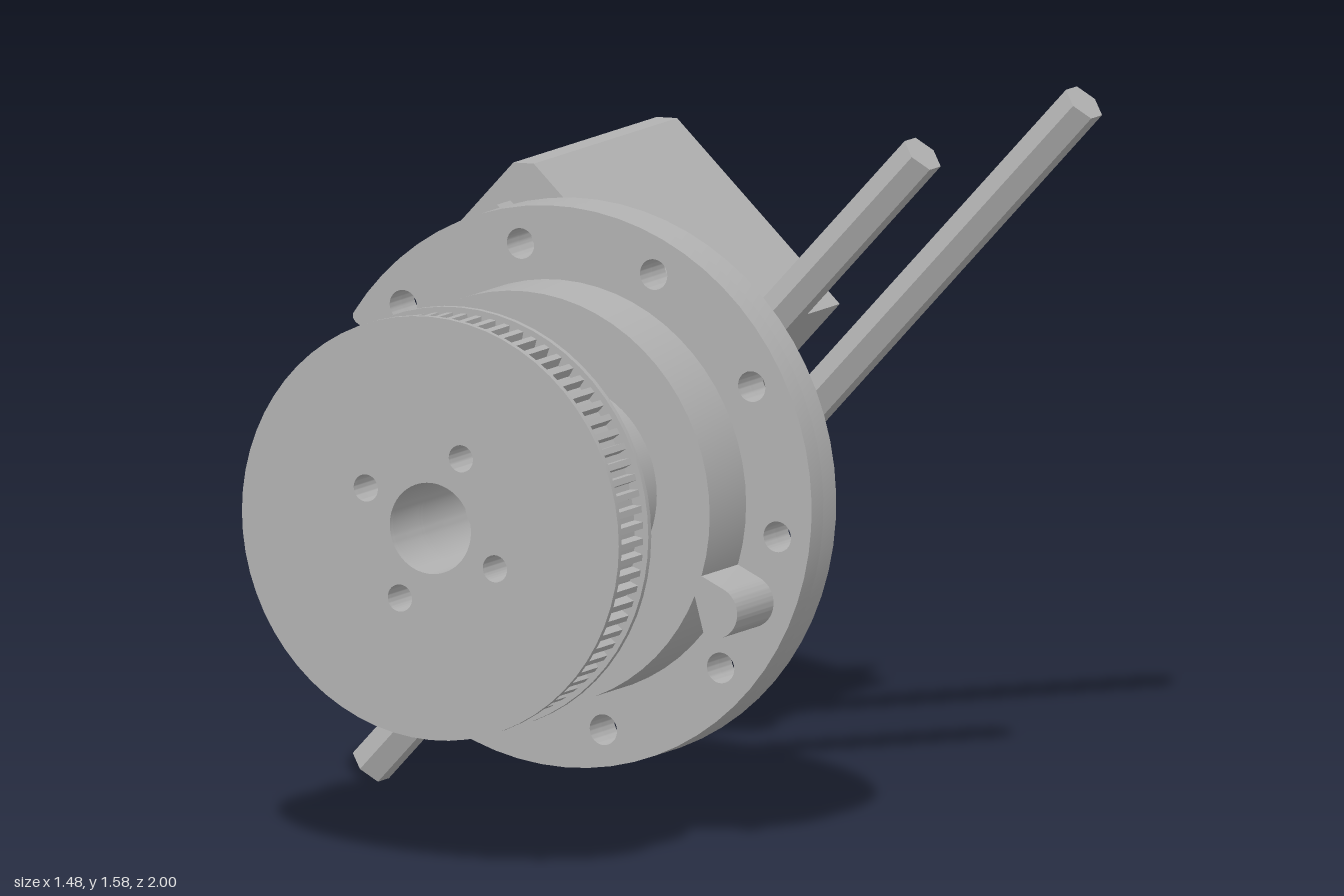
import * as THREE from 'three';
import { toCreasedNormals } from 'three/addons/utils/BufferGeometryUtils.js';

const TAU = Math.PI * 2;
const gray = new THREE.MeshStandardMaterial({ color: 0xb2b2b2 });
gray.name = 'plain gray';

function add(parent, name, geometry) {
  const mesh = new THREE.Mesh(toCreasedNormals(geometry, 0.5), gray);
  mesh.name = name;
  parent.add(mesh);
  return mesh;
}

// Extrude a shape along z between two depths
function slab(shape, z0, z1) {
  const g = new THREE.ExtrudeGeometry(shape, { depth: z1 - z0, bevelEnabled: false, curveSegments: 32 });
  return g.translate(0, 0, z0);
}

const polar = (r, a) => new THREE.Vector2(r * Math.cos(a), r * Math.sin(a));

function disc(r) {
  return new THREE.Shape().absarc(0, 0, r, 0, TAU);
}

function punch(shape, r, radius = 0, count = 1, start = 0) {
  for (let i = 0; i < count; i++) {
    const c = polar(radius, start + (i * TAU) / count);
    shape.holes.push(new THREE.Path().absarc(c.x, c.y, r, 0, TAU, true));
  }
  return shape;
}

// Centre bore with the four screw holes around it
const bore = (shape, screw = 0.031) => punch(punch(shape, 0.104), screw, 0.183, 4, 1.13);

// Flange outline with a rounded notch in the rim
function flangeShape() {
  const R = 0.64, a = THREE.MathUtils.degToRad(155), w = 0.075, d = 0.57;
  const dir = polar(1, a), side = polar(1, a + Math.PI / 2);
  const at = (along, across) => dir.clone().multiplyScalar(along).addScaledVector(side, across);
  const s = new THREE.Shape();
  const c = at(d, 0), p = at(0.605, w), q = at(0.605, -w), k = at(0.632, w), m = at(0.632, -w);
  s.absarc(0, 0, R, a + 0.145, a - 0.145 + TAU, false);
  s.quadraticCurveTo(m.x, m.y, q.x, q.y);
  s.absarc(c.x, c.y, w, a - Math.PI / 2, a - Math.PI * 1.5, true);
  s.lineTo(p.x, p.y);
  const e = polar(R, a + 0.145);
  s.quadraticCurveTo(k.x, k.y, e.x, e.y);
  return punch(s, 0.035, 0.556, 10, THREE.MathUtils.degToRad(-7));
}

// Toothed outline of the belt pulley
function toothShape(n, rIn, rOut) {
  const pts = [];
  for (let i = 0; i < n; i++) {
    [[0, rIn], [0.4, rIn], [0.5, rOut], [0.9, rOut]].forEach(([t, r]) => pts.push(polar(r, ((i + t) * TAU) / n)));
  }
  return new THREE.Shape(pts);
}

// Ear with two screw holes, each open to the edge by a narrow slot
function earShape() {
  const w = 0.15, h = 0.115, r = 0.03, slot = 0.011, cy = 0.06;
  const s = new THREE.Shape();
  s.moveTo(-w, -0.02);
  s.lineTo(w, -0.02);
  s.lineTo(w, h - 0.015);
  s.lineTo(w - 0.015, h);
  const g = Math.asin(slot / r);
  for (const x of [0.075, -0.075]) {
    s.lineTo(x + slot, h);
    s.absarc(x, cy, r, Math.PI / 2 - g, Math.PI / 2 + g - TAU, true);
    s.lineTo(x - slot, h);
  }
  s.lineTo(0.015 - w, h);
  s.lineTo(-w, h - 0.015);
  return s;
}

function buildDrive() {
  const g = new THREE.Group();
  g.name = 'driveAssembly';

  // Mounting flange, counterbored at the back
  add(g, 'flangeBack', slab(bore(flangeShape(), 0.068), 0.27, 0.33));
  add(g, 'flangeFront', slab(bore(flangeShape()), 0.33, 0.385));

  // Collar ring with its side lug
  add(g, 'collarRing', slab(punch(disc(0.472), 0.41), 0.385, 0.555));
  const lug = new THREE.Shape();
  lug.moveTo(0.43, -0.06);
  lug.absarc(0.53, 0, 0.06, -Math.PI / 2, Math.PI / 2);
  lug.lineTo(0.43, 0.06);
  add(g, 'collarLug', slab(lug, 0.385, 0.555)).rotation.z = THREE.MathUtils.degToRad(-24.5);

  // Two hub halves with a small gap
  add(g, 'flangeHub', slab(bore(disc(0.243)), 0.385, 0.635));
  add(g, 'pulleyHub', slab(bore(disc(0.243)), 0.65, 0.848));

  // Belt pulley between two thin rims
  add(g, 'pulleyBackRim', slab(bore(disc(0.483)), 0.848, 0.862));
  add(g, 'pulleyTeeth', slab(bore(toothShape(80, 0.448, 0.47)), 0.862, 0.986));
  add(g, 'pulleyFrontRim', slab(bore(disc(0.483)), 0.986, 1.0));
  return g;
}

function buildServo() {
  const g = new THREE.Group();
  g.name = 'servo';

  // Chamfered case
  const s = new THREE.Shape([
    [-0.171, 0.14], [0.171, 0.14], [0.171, 0.71], [0.134, 0.747], [-0.134, 0.747], [-0.171, 0.71],
  ].map(([x, y]) => new THREE.Vector2(x, y)));
  add(g, 'servoCase', slab(s, -0.887, -0.217));

  // Mounting ears at both ends
  for (const [name, sign, z] of [['frontEar', 1, -0.217], ['backEar', -1, -0.887]]) {
    const ear = add(g, name, slab(earShape(), -0.018, 0.018));
    ear.rotation.x = (sign * Math.PI) / 2;
    ear.position.set(0, 0.247, z);
  }

  // Stepped output boss and hollow shaft
  const profile = [
    [0, 0.06], [0.025, 0.06], [0.025, 0.02], [0.05, 0.02], [0.055, 0.08], [0.105, 0.08],
    [0.11, 0.108], [0.155, 0.108], [0.168, 0.12], [0.168, 0.145],
  ].map(([x, y]) => new THREE.Vector2(x, y));
  add(g, 'outputShaft', new THREE.LatheGeometry(profile, 40)).position.z = -0.385;
  add(g, 'gearBump', new THREE.CylinderGeometry(0.09, 0.08, 0.035, 32)).position.set(0, 0.13, -0.55);

  // Cable plug with three pins
  add(g, 'plugBase', new THREE.BoxGeometry(0.13, 0.062, 0.065)).position.set(0, 0.662, -0.187);
  add(g, 'plugNeck', new THREE.BoxGeometry(0.1, 0.038, 0.04)).position.set(0, 0.662, -0.138);
  for (const x of [-0.033, 0, 0.033]) {
    const pin = add(g, 'plugPin', new THREE.CylinderGeometry(0.013, 0.013, 0.05, 12));
    pin.rotation.x = Math.PI / 2;
    pin.position.set(x, 0.662, -0.102);
  }
  return g;
}

export function createModel() {
  const model = new THREE.Group();
  model.name = 'pulleyAndServoAssembly';

  const drive = buildDrive();
  drive.position.y = 0.79;
  model.add(drive);

  // Servo and bars share the same tilt
  const tilted = new THREE.Group();
  tilted.name = 'tiltedParts';
  tilted.position.y = 0.79;
  tilted.rotation.z = THREE.MathUtils.degToRad(47);
  tilted.add(buildServo());

  // Hexagonal bars, corners toward front and back
  for (const [name, z] of [['frontBar', -0.011], ['backBar', -0.765]]) {
    const hex = new THREE.CylinderGeometry(0.051, 0.051, 2.074, 6).rotateZ(Math.PI / 2);
    add(tilted, name, hex).position.z = z;
  }
  model.add(tilted);
  return model;
}
